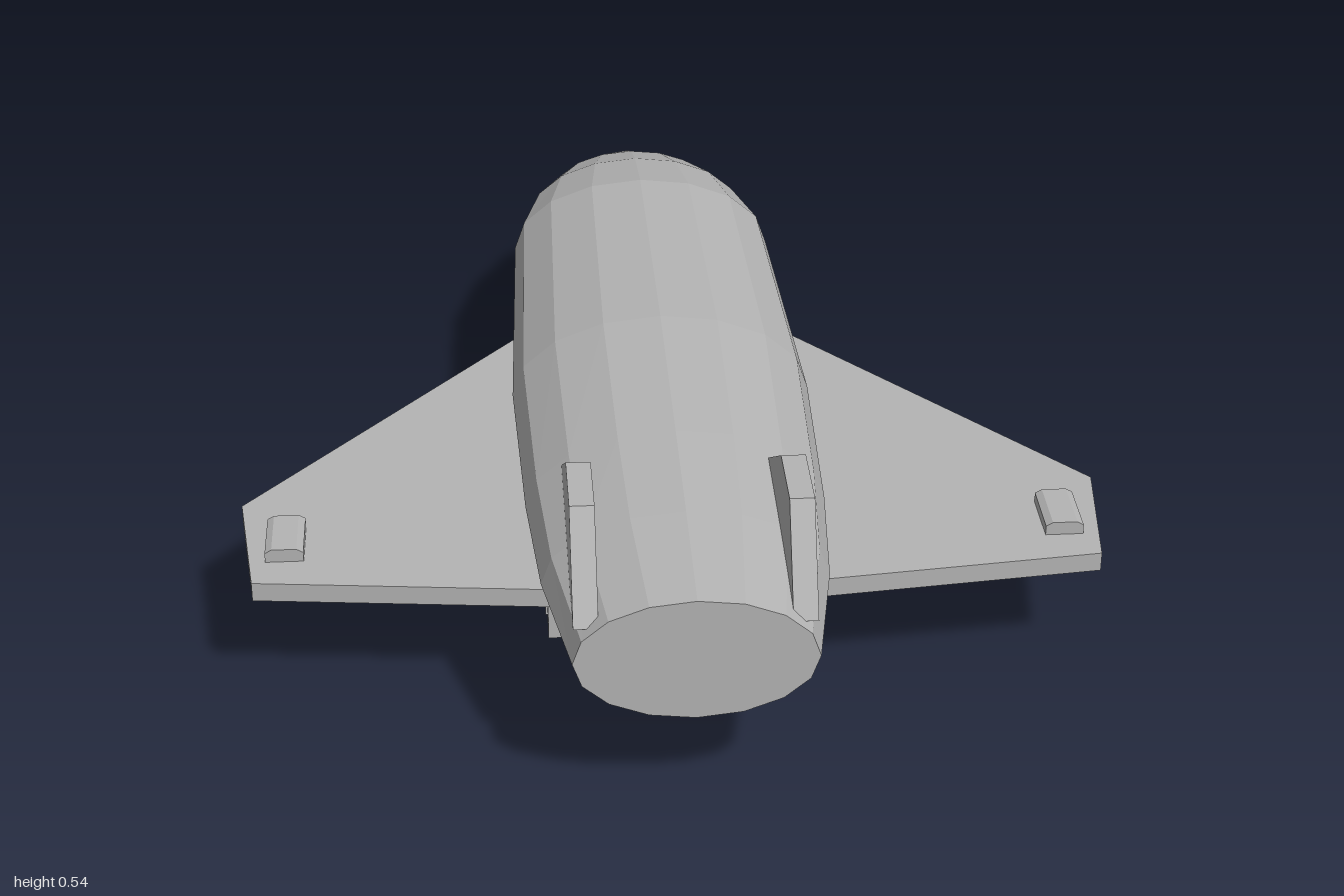
import * as THREE from 'three';

const grey = new THREE.MeshStandardMaterial({ color: 0xb4b4b4, flatShading: true });
grey.name = 'hull grey';

function add(parent, name, geometry, x = 0, y = 0, z = 0) {
  const mesh = new THREE.Mesh(geometry, grey);
  mesh.name = name;
  mesh.position.set(x, y, z);
  parent.add(mesh);
  return mesh;
}

function extrude(points, depth) {
  const shape = new THREE.Shape(points.map(([a, b]) => new THREE.Vector2(a, b)));
  return new THREE.ExtrudeGeometry(shape, { depth, bevelEnabled: false });
}

// Sixteen-sided elliptical hull lofted through stations: z, half width, bottom, top
function hullGeometry() {
  const stations = [
    [1, 0.205, 0.19, 0.42],
    [0.75, 0.248, 0.166, 0.437],
    [0.5, 0.267, 0.154, 0.451],
    [0.1, 0.28, 0.145, 0.467],
    [-0.52, 0.26, 0.16, 0.455],
    [-0.7, 0.22, 0.175, 0.42],
    [-0.86, 0.16, 0.2, 0.363],
    [-1, 0.035, 0.225, 0.3],
  ];
  const sides = 16;
  const point = (i, j) => {
    const [z, w, bottom, top] = stations[i];
    const a = (j % sides) / sides * Math.PI * 2;
    return [Math.cos(a) * w, (top + bottom) / 2 + Math.sin(a) * (top - bottom) / 2, z];
  };
  const centre = (i) => [0, (stations[i][2] + stations[i][3]) / 2, stations[i][0]];
  const last = stations.length - 1;
  const verts = [];
  for (let j = 0; j < sides; j++) {
    for (let i = 0; i < last; i++) {
      const a = point(i, j), b = point(i, j + 1), c = point(i + 1, j), d = point(i + 1, j + 1);
      verts.push(...a, ...c, ...b, ...b, ...c, ...d);
    }
    // Flat tail and nose caps
    verts.push(...centre(0), ...point(0, j), ...point(0, j + 1));
    verts.push(...centre(last), ...point(last, j + 1), ...point(last, j));
  }
  const geometry = new THREE.BufferGeometry();
  geometry.setAttribute('position', new THREE.Float32BufferAttribute(verts, 3));
  geometry.computeVertexNormals();
  return geometry;
}

function landingGear(name, x, z) {
  const gear = new THREE.Group();
  gear.name = name;
  gear.position.set(x, 0, z);
  add(gear, 'strut', new THREE.BoxGeometry(0.035, 0.15, 0.046), 0, 0.145, 0);
  add(gear, 'wheelBlock', new THREE.BoxGeometry(0.07, 0.08, 0.096), 0, 0.04, 0);
  add(gear, 'axle', new THREE.BoxGeometry(0.078, 0.026, 0.03), 0, 0.043, 0);
  return gear;
}

export function createModel() {
  const model = new THREE.Group();
  model.name = 'spaceplane';
  add(model, 'fuselage', hullGeometry());

  // One delta plate passing through the hull; outline as x, -z
  const half = [[0.2, 0.33], [0.78, -0.36], [0.75, -0.62], [0.2, -0.677]];
  const outline = [...half, ...half.map(([x, y]) => [-x, y]).reverse()];
  add(model, 'wing', extrude(outline, 0.036).rotateX(-Math.PI / 2), 0, 0.204, 0);

  for (const side of [1, -1]) {
    const label = side > 0 ? 'left' : 'right';

    // Tail fin profile as -z, y
    const fin = extrude([[-0.98, 0.36], [-0.455, 0.36], [-0.74, 0.535], [-0.88, 0.535]], 0.042);
    fin.rotateY(Math.PI / 2);
    add(model, label + 'Fin', fin, side * 0.181 - 0.021, 0, 0);

    // Bevelled thruster pod near the wing tip
    const pod = extrude([[-0.034, 0], [0.034, 0], [0.034, 0.02], [0.022, 0.027],
      [-0.022, 0.027], [-0.034, 0.02]], 0.115);
    add(model, label + 'WingPod', pod, side * 0.695, 0.238, 0.438);

    model.add(landingGear(label + 'MainGear', side * 0.195, 0.42));
  }
  model.add(landingGear('noseGear', 0, -0.58));
  return model;
}
